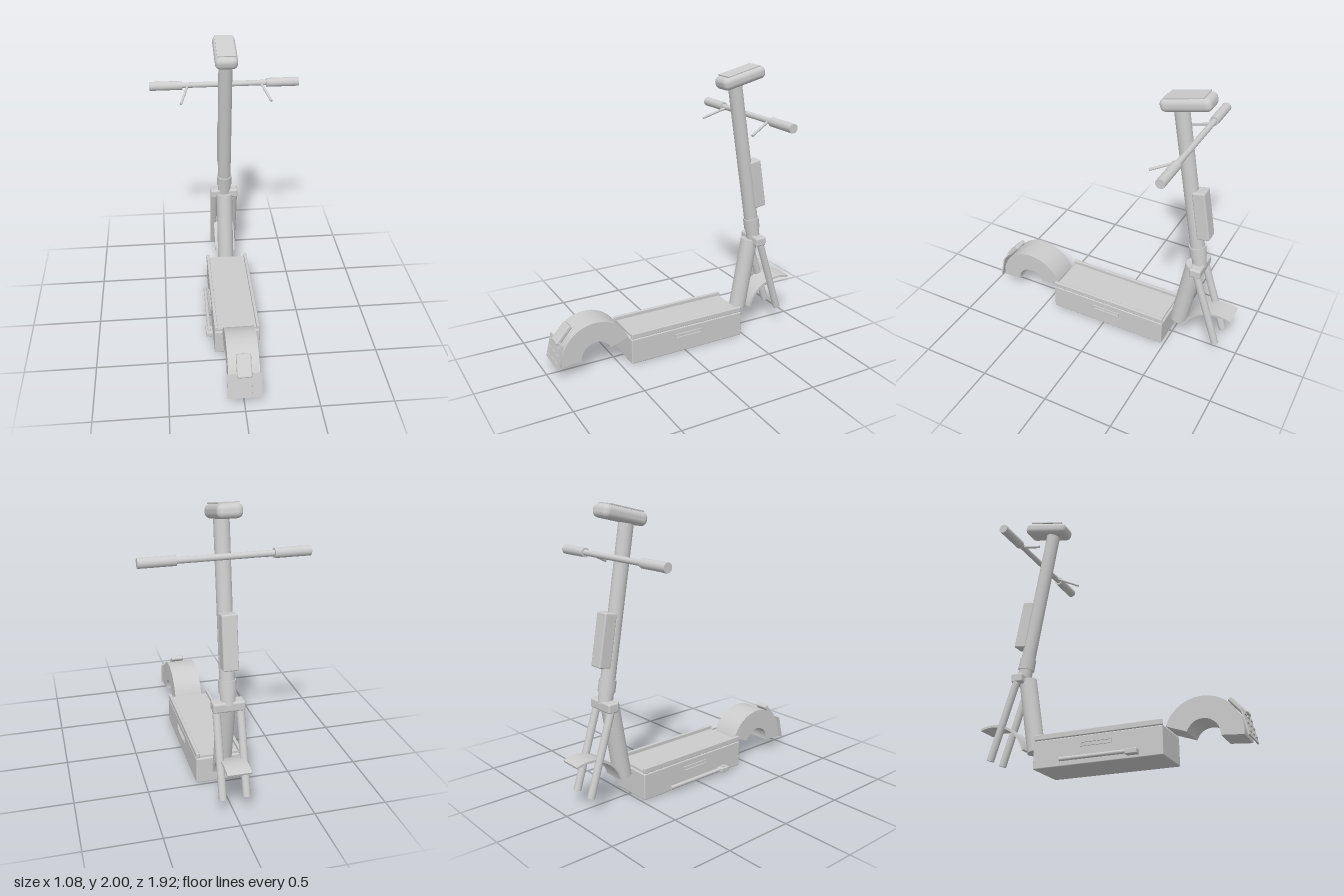
import * as THREE from 'three';
import { RoundedBoxGeometry } from 'three/addons/geometries/RoundedBoxGeometry.js';

const material = new THREE.MeshStandardMaterial({ color: 0xcccccc });
const rad = THREE.MathUtils.degToRad;

export function createModel() {
  const model = new THREE.Group();

  function add(name, geometry, parent = model) {
    const mesh = new THREE.Mesh(geometry, material);
    mesh.name = name;
    parent.add(mesh);
    return mesh;
  }
  // Box with optional rounding, tilted about x
  function box(name, size, pos, tilt = 0, round = 0, parent = model) {
    const geometry = round ? new RoundedBoxGeometry(...size, 4, round) : new THREE.BoxGeometry(...size);
    const mesh = add(name, geometry, parent);
    mesh.position.set(...pos);
    mesh.rotation.x = rad(tilt);
    return mesh;
  }
  // Round bar between two points
  function rod(name, from, to, radius, sides = 32) {
    const a = new THREE.Vector3(...from), b = new THREE.Vector3(...to);
    const dir = b.clone().sub(a);
    const mesh = add(name, new THREE.CylinderGeometry(radius, radius, dir.length(), sides));
    mesh.position.copy(a).add(b).multiplyScalar(0.5);
    mesh.quaternion.setFromUnitVectors(new THREE.Vector3(0, 1, 0), dir.normalize());
    return mesh;
  }
  // Curved fender: a ring sector in the zy plane, extruded across x
  function fender(name, z, y, inner, outer, start, end, width) {
    const shape = new THREE.Shape();
    shape.absarc(0, 0, outer, rad(start), rad(end), false);
    shape.absarc(0, 0, inner, rad(end), rad(start), true);
    const geometry = new THREE.ExtrudeGeometry(shape, { depth: width, bevelEnabled: false, curveSegments: 40 });
    geometry.translate(0, 0, -width / 2).rotateY(-Math.PI / 2);
    add(name, geometry).position.set(0, y, z);
  }

  // Deck with mat, raised side rails and handles
  box('deck', [0.32, 0.19, 0.905], [0, 0.095, -0.027], 0, 0.008);
  box('deckMat', [0.29, 0.02, 0.875], [0, 0.195, -0.027]);
  for (const s of [-1, 1]) {
    box('deckRail', [0.022, 0.04, 0.9], [s * 0.149, 0.212, -0.027], 0, 0.006);
    for (const y of [0.118, 0.143]) box('sideHandleBar', [0.014, 0.006, 0.216], [s * 0.161, y, -0.025]);
    for (const z of [-0.13, 0.08]) box('sideHandleEnd', [0.014, 0.03, 0.006], [s * 0.161, 0.13, z]);
  }

  // Folded kickstand along the right side
  rod('kickstand', [-0.187, 0.04, -0.27], [-0.187, 0.04, 0.22], 0.013, 16);
  box('kickstandMount', [0.05, 0.035, 0.08], [-0.187, 0.035, 0.23], 0, 0.006);
  rod('kickstandPivot', [-0.187, 0.04, 0.23], [-0.187, 0.062, 0.23], 0.012, 16);

  // Rear fender, tail light and ribbed mud flap
  fender('rearFender', 0.668, 0.105, 0.11, 0.255, -5, 160, 0.21);
  box('tailLight', [0.1, 0.035, 0.155], [0, 0.287, 0.877], 48.8, 0.012);
  const flap = new THREE.Group();
  flap.name = 'mudFlap';
  flap.position.set(0, 0.162, 0.932);
  flap.rotation.x = rad(-12.5);
  model.add(flap);
  box('flapPlate', [0.23, 0.178, 0.01], [0, 0, 0], 0, 0, flap);
  for (const x of [-0.07, 0, 0.07]) {
    for (const y of [-0.055, 0, 0.055]) box('flapRib', [0.045, 0.014, 0.008], [x, y, 0.008], 0, 0, flap);
  }

  // Lower tube, leaning stem and collar
  rod('lowerTube', [0, 0.16, -0.546], [0, 0.695, -0.638], 0.062);
  const stemZ = y => -0.67 + (y - 0.72) * 0.171;
  rod('stem', [0, 0.7, stemZ(0.7)], [0, 1.88, stemZ(1.88)], 0.05);
  rod('stemCollar', [0, 0.78, stemZ(0.78)], [0, 0.862, stemZ(0.862)], 0.058);
  box('batteryPack', [0.1, 0.36, 0.09], [0, 1.13, -0.668], 9.8, 0.01);

  // Front fork and fender
  box('forkBracket', [0.214, 0.068, 0.084], [0, 0.694, -0.676], 0, 0.014);
  for (const s of [-1, 1]) rod('forkLeg', [s * 0.08, 0.69, -0.678], [s * 0.08, 0.115, -0.86], 0.026);
  fender('frontFender', -0.865, 0.1, 0.257, 0.273, 15, 110, 0.16);

  // Handlebar, grips and brake levers
  rod('handlebar', [-0.32, 1.65, -0.583], [0.32, 1.65, -0.583], 0.02);
  for (const s of [-1, 1]) {
    rod('grip', [s * 0.305, 1.65, -0.583], [s * 0.54, 1.65, -0.583], 0.032);
    rod('brakeLever', [s * 0.268, 1.645, -0.57], [s * 0.322, 1.578, -0.412], 0.009, 12);
  }

  // Display head at the top of the stem
  box('displayHead', [0.16, 0.09, 0.345], [0, 1.914, -0.517], 13.4, 0.038);
  box('displayScreen', [0.13, 0.008, 0.265], [0, 1.961, -0.507], 13.4);

  return model;
}
